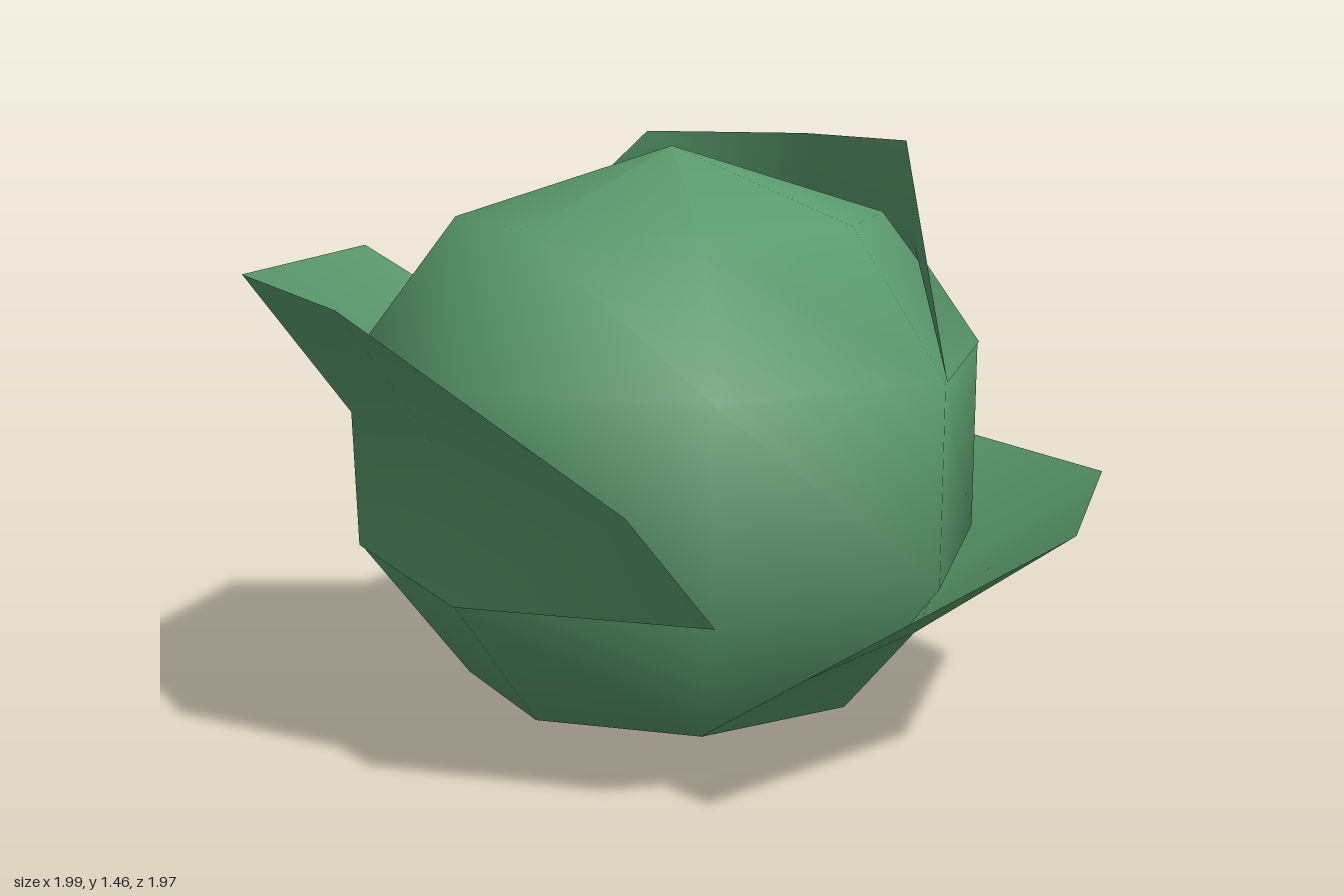
import * as THREE from 'three';

const green = new THREE.MeshStandardMaterial({ color: 0x5a996d });
green.name = 'leafGreen';
const leafGreen = new THREE.MeshStandardMaterial({ color: 0x5a996d, side: THREE.DoubleSide });
leafGreen.name = 'leafGreenTwoSided';

// One curling leaf: a half ring hugging the head, a middle row, and three tip points.
// Each point is [degrees from the leaf axis, radius, height].
function makeLeaf(name, axis, base, mid, ends, tips) {
  const arc = [-90, -45, 0, 45, 90];
  const points = [
    ...arc.map(a => [a, ...base]),
    ends[0], ...[-45, 0, 45].map(a => [a, ...mid]), ends[1],
    ...tips,
  ];
  const positions = points.flatMap(([deg, r, y]) => {
    const a = THREE.MathUtils.degToRad(axis + deg);
    return [r * Math.cos(a), y, r * Math.sin(a)];
  });

  const tipRow = [5, 10, 11, 12, 9]; // tip row pinches into the middle row at both ends
  const index = [];
  const tri = (a, b, c) => {
    if (a !== b && b !== c && a !== c) index.push(a, b, c);
  };
  for (let i = 0; i < 4; i++) {
    tri(i, i + 5, i + 1);
    tri(i + 5, i + 6, i + 1);
    tri(i + 5, tipRow[i], i + 6);
    tri(tipRow[i], tipRow[i + 1], i + 6);
  }
  const geometry = new THREE.BufferGeometry();
  geometry.setAttribute('position', new THREE.Float32BufferAttribute(positions, 3));
  geometry.setIndex(index);
  geometry.computeVertexNormals();
  const mesh = new THREE.Mesh(geometry, leafGreen);
  mesh.name = name;
  return mesh;
}

export function createModel() {
  const model = new THREE.Group();
  model.name = 'cabbage';

  // Round head with eight sides
  const profile = [[0, 0.005], [0.51, 0.165], [0.763, 0.5], [0.763, 0.97], [0.515, 1.295], [0, 1.457]];
  const head = new THREE.Mesh(
    new THREE.LatheGeometry(profile.map(([r, y]) => new THREE.Vector2(r, y)), 8), green);
  head.name = 'head';
  model.add(head);

  // Upright leaf at the side
  model.add(makeLeaf('upperLeaf', 0, [0.767, 0.97], [0.597, 1.21],
    [[-71, 0.62, 1.21], [71, 0.62, 1.21]],
    [[-45, 0.57, 1.465], [0, 0.56, 1.465], [45, 0.57, 1.465]]));

  // Flared leaf at the back
  model.add(makeLeaf('middleLeaf', 225, [0.768, 0.5], [0.775, 0.83],
    [[-77, 0.85, 0.76], [77, 0.81, 0.76]],
    [[-38, 0.97, 1.16], [0, 1.015, 1.165], [38, 0.96, 1.168]]));

  // Wide open leaf low at the front
  model.add(makeLeaf('lowerLeaf', 45, [0.515, 0.165], [0.7, 0.385],
    [[-70, 0.8, 0.47], [77, 0.81, 0.385]],
    [[-36, 1.045, 0.63], [0, 1.1, 0.63], [36, 1.025, 0.63]]));

  // Head sits slightly off centre because of the leaves
  for (const part of model.children) part.position.set(-0.035, 0, -0.03);
  return model;
}
